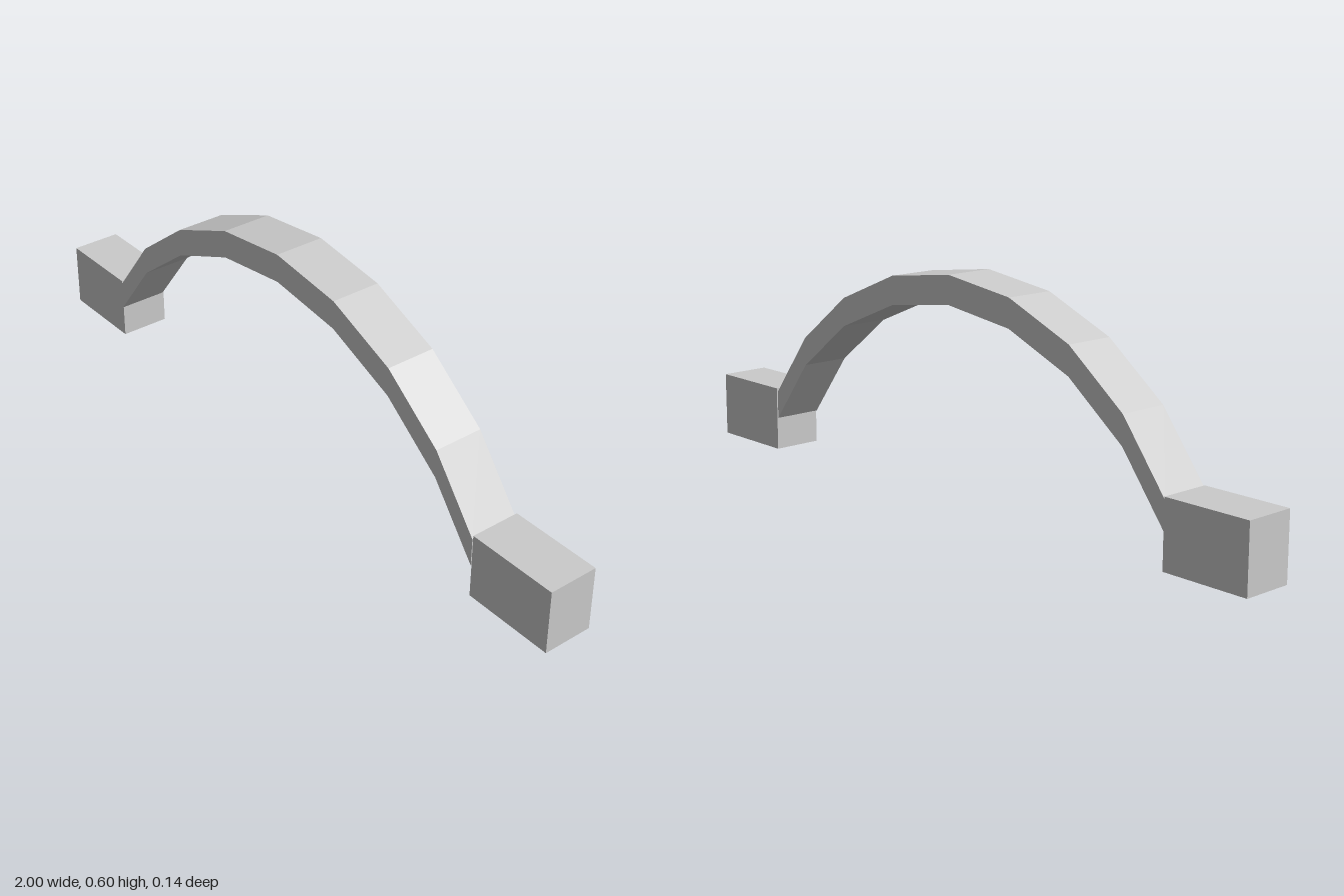
import * as THREE from 'three';

export function createModel() {
  const model = new THREE.Group();
  const material = new THREE.MeshStandardMaterial({ color: 0xcccccc, flatShading: true });
  const add = (name, geometry, x, y, z) => {
    const mesh = new THREE.Mesh(geometry, material);
    mesh.name = name;
    mesh.position.set(x, y, z);
    model.add(mesh);
  };

  // Arch: 120 degrees of a circle in eight straight pieces, with a constant vertical thickness
  const radius = 0.862, thickness = 0.078, segments = 8, depth = 0.139;
  const top = [];
  for (let i = 0; i <= segments; i++) {
    const a = THREE.MathUtils.degToRad(-60 + (120 * i) / segments);
    top.push(new THREE.Vector2(radius * Math.sin(a), radius * Math.cos(a)));
  }
  const bottom = top.map((p) => new THREE.Vector2(p.x, p.y - thickness)).reverse();
  const arch = new THREE.ExtrudeGeometry(new THREE.Shape([...top, ...bottom]), {
    depth, bevelEnabled: false,
  });
  add('arch', arch, -0.005, 0.601 - radius, -0.067);

  // End blocks that carry the arch
  const block = (name, x0, x1) =>
    add(name, new THREE.BoxGeometry(x1 - x0, 0.18, 0.14), (x0 + x1) / 2, 0.09, 0);
  block('rightBlock', -1, -0.751);
  block('leftBlock', 0.742, 1);

  return model;
}
